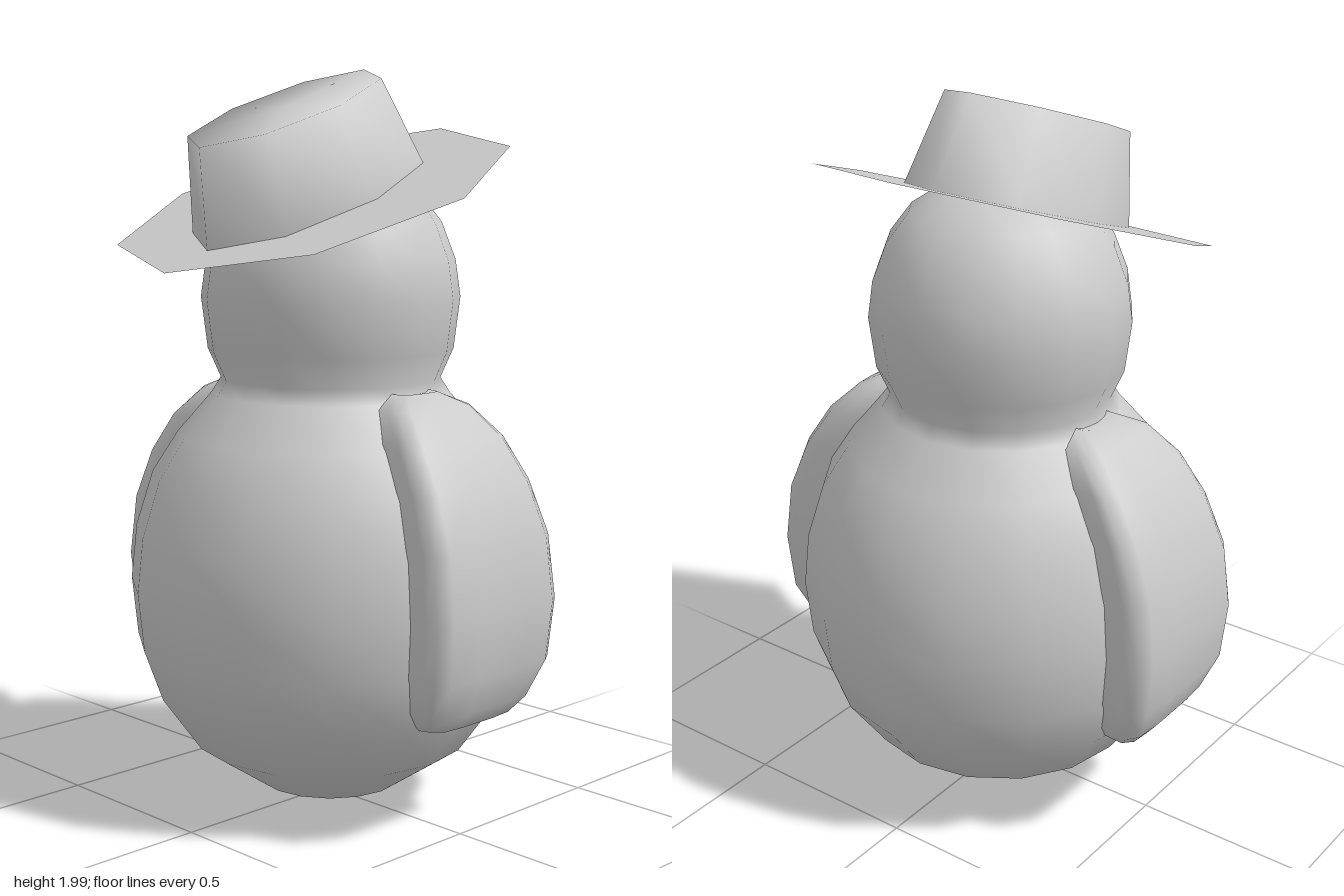
import * as THREE from 'three';
import { mergeVertices } from 'three/addons/utils/BufferGeometryUtils.js';

const mat = new THREE.MeshStandardMaterial({ color: 0xcccccc, side: THREE.DoubleSide });

function addMesh(parent, name, geometry) {
  const mesh = new THREE.Mesh(geometry, mat);
  mesh.name = name;
  parent.add(mesh);
  return mesh;
}

// Smooth normals across every shared corner
function weld(geometry) {
  geometry.deleteAttribute('uv');
  geometry.deleteAttribute('normal');
  const g = mergeVertices(geometry, 1e-4);
  g.computeVertexNormals();
  return g;
}

// Wing: rows of [y, outer x, half width], each a rounded slab section
function wingGeometry() {
  const rows = [
    [0.295, 0.46, 0.12], [0.315, 0.545, 0.15], [0.36, 0.58, 0.185], [0.46, 0.62, 0.222],
    [0.62, 0.635, 0.23], [0.79, 0.615, 0.222], [0.93, 0.56, 0.205], [1.04, 0.49, 0.18],
    [1.12, 0.41, 0.135], [1.155, 0.345, 0.07], [1.14, 0.26, 0.04],
  ];
  // [inset from outer x, fraction of half width]
  const section = [[0.16, 0.94], [0.07, 0.98], [0.03, 1], [0.006, 0.83], [0, 0.4],
    [0, -0.4], [0.006, -0.83], [0.03, -1], [0.07, -0.98], [0.16, -0.94]];
  const pos = [], index = [], n = section.length;
  rows.forEach(([y, x, w], i) => {
    section.forEach(([inset, f], j) => {
      pos.push(x - inset, y, f * w - 0.015);
      if (i && j) {
        const a = (i - 1) * n + j - 1, b = a + 1, c = a + n, d = c + 1;
        index.push(a, b, d, a, d, c);
      }
    });
  });
  const g = new THREE.BufferGeometry();
  g.setAttribute('position', new THREE.Float32BufferAttribute(pos, 3));
  g.setIndex(index);
  g.computeVertexNormals();
  return g;
}

// Octagon with corners on the axes, stretched to rx by ry
const octagon = (rx, ry, cy = 0) => Array.from({ length: 8 }, (_, i) => {
  const a = i * Math.PI / 4;
  return new THREE.Vector2(rx * Math.cos(a), cy + ry * Math.sin(a));
});

export function createModel() {
  const model = new THREE.Group();
  model.name = 'hattedBird';

  // Body and head in one turned profile
  const profile = [
    [0, 0.005], [0.2, 0.04], [0.38, 0.16], [0.487, 0.31], [0.537, 0.45], [0.553, 0.61],
    [0.537, 0.76], [0.49, 0.91], [0.42, 1.02], [0.325, 1.13], [0.3, 1.17], [0.335, 1.25],
    [0.352, 1.39], [0.338, 1.49], [0.3, 1.59], [0.24, 1.67], [0.15, 1.73], [0, 1.757],
  ].map(([r, y]) => new THREE.Vector2(r, y));
  addMesh(model, 'bodyAndHead', weld(new THREE.LatheGeometry(profile, 16))).position.z = -0.012;

  // Wings
  const wing = wingGeometry();
  addMesh(model, 'leftWing', wing);
  addMesh(model, 'rightWing', wing).scale.x = -1;

  // Hat, tipped forward
  const hat = new THREE.Group();
  hat.name = 'hat';
  hat.position.set(0, 1.66, 0.0575);
  hat.rotation.x = THREE.MathUtils.degToRad(20);
  model.add(hat);

  // Brim: a flat octagon open under the crown
  const brimShape = new THREE.Shape(octagon(0.54, 0.54));
  brimShape.holes.push(new THREE.Path(octagon(0.255, 0.378, -0.012).reverse()));
  addMesh(hat, 'hatBrim', new THREE.ShapeGeometry(brimShape).rotateX(-Math.PI / 2));

  // Crown: tapered oval, closed on top and open below
  const crown = new THREE.LatheGeometry(
    [[0.255, 0], [0.21, 0.25], [0, 0.25]].map(([r, y]) => new THREE.Vector2(r, y)), 8);
  crown.scale(1, 1, 1.485);
  addMesh(hat, 'hatCrown', weld(crown)).position.z = 0.012;

  return model;
}
